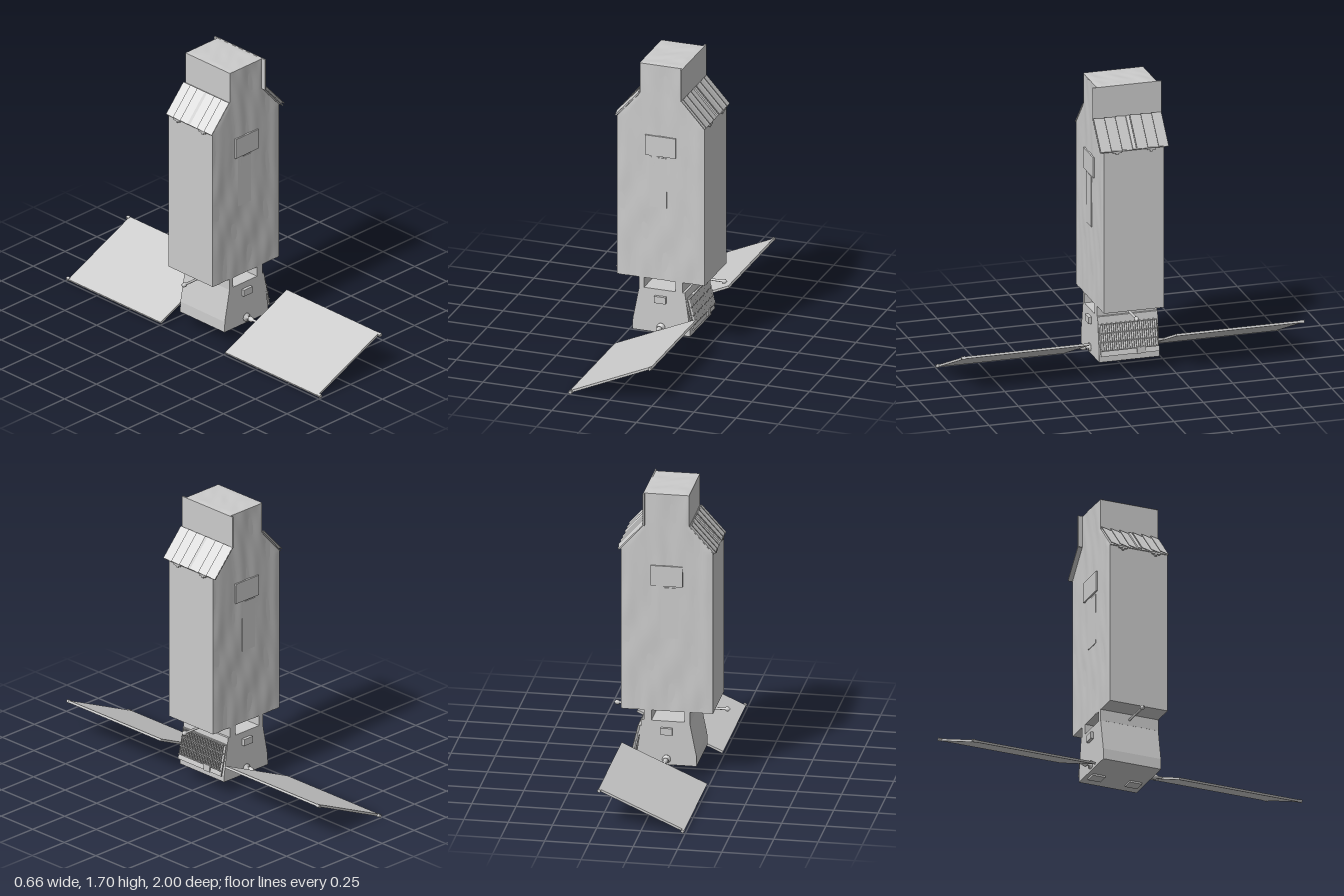
import * as THREE from 'three';

const grey = new THREE.MeshStandardMaterial({ color: 0xcccccc });
const sheet = new THREE.MeshStandardMaterial({ color: 0xcccccc, side: THREE.DoubleSide });

function add(parent, name, geometry, x = 0, y = 0, z = 0, material = grey) {
  const mesh = new THREE.Mesh(geometry, material);
  mesh.name = name;
  mesh.position.set(x, y, z);
  parent.add(mesh);
  return mesh;
}
const box = (parent, name, w, h, d, x, y, z) => add(parent, name, new THREE.BoxGeometry(w, h, d), x, y, z);

function group(parent, name, x = 0, y = 0, z = 0) {
  const g = new THREE.Group();
  g.name = name;
  g.position.set(x, y, z);
  parent.add(g);
  return g;
}

// Prism with an outline in x-y, centred on z = 0
function prism(points, depth) {
  const shape = new THREE.Shape(points.map(([x, y]) => new THREE.Vector2(x, y)));
  return new THREE.ExtrudeGeometry(shape, { depth, bevelEnabled: false }).translate(0, 0, -depth / 2);
}

// Soft slanted creases, about -1 to 1
const crease = (u, v) =>
  0.5 * Math.sin(38 * u - 7 * v + 2.2 * Math.sin(5 * v + 6 * u)) +
  0.3 * Math.sin(71 * u + 9 * v + 1.7 * Math.sin(8 * v)) +
  0.2 * Math.sin(23 * u + 19 * v);

// Half width of the main body at height y
const halfWidth = y => y < 1.36 ? 0.26 : y < 1.51 ? 0.26 - 0.9 * (y - 1.36) : 0.125;

// Creased foil following the body outline
function foilGeometry() {
  const rows = 86, cols = 36;
  const g = new THREE.PlaneGeometry(2, 1, cols, rows);
  const p = g.attributes.position;
  for (let i = 0; i < p.count; i++) {
    const u = p.getX(i);
    const y = 0.405 + (p.getY(i) + 0.5) * 1.29;
    const x = u * halfWidth(y);
    const fade = Math.min(1, (1 - Math.abs(u)) * 8);
    p.setXYZ(i, x, y, 0.174 + fade * 0.003 * (0.6 + crease(x, y)));
  }
  g.computeVertexNormals();
  return g;
}

function buildBody(root) {
  const body = group(root, 'mainBody');
  add(body, 'bodyShell', prism([
    [-0.26, 0.405], [0.26, 0.405], [0.26, 1.36], [0.125, 1.51],
    [0.125, 1.695], [-0.125, 1.695], [-0.125, 1.51], [-0.26, 1.36],
  ], 0.348));

  // Front and back are alike
  for (const turn of [0, Math.PI]) {
    const face = group(body, turn ? 'backFace' : 'frontFace');
    face.rotation.y = turn;
    add(face, 'foil', foilGeometry(), 0, 0, 0, sheet);
    box(face, 'equipmentPanel', 0.18, 0.12, 0.014, 0, 1.21, 0.178);
    box(face, 'lowerPanel', 0.1, 0.3, 0.006, 0.015 * (turn ? 1 : -1), 0.99, 0.1755);
  }

  // Creased roof
  const roof = new THREE.PlaneGeometry(0.25, 0.348, 20, 26).rotateX(-Math.PI / 2);
  const p = roof.attributes.position;
  for (let i = 0; i < p.count; i++) {
    const x = p.getX(i), z = p.getZ(i);
    const edge = Math.min(1, (0.125 - Math.abs(x)) * 40, (0.174 - Math.abs(z)) * 40);
    p.setY(i, 0.002 + edge * 0.002 * (1 + crease(z, x * 3)));
  }
  roof.computeVertexNormals();
  add(body, 'roofFoil', roof, 0, 1.695, 0, sheet);

  // Wide radiator plate on the neck
  box(body, 'neckRadiator', 0.008, 0.19, 0.4, 0.128, 1.603, 0);

  // Sloping louvred shoulders
  for (const s of [1, -1]) {
    const side = group(body, s > 0 ? 'leftShoulder' : 'rightShoulder');
    side.rotation.y = s > 0 ? 0 : Math.PI;
    const depth = s > 0 ? 0.4 : 0.352;
    const slope = group(side, 'louvreFrame', 0.199, 1.434, 0);
    slope.rotation.z = Math.atan2(-0.155, 0.14);
    box(slope, 'basePlate', 0.205, 0.005, depth, 0, 0, 0);
    box(slope, 'middleBar', 0.205, 0.012, 0.02, 0, 0.006, 0);
    const bladeWidth = (depth / 2 - 0.012) / 3;
    for (let i = 0; i < 6; i++) {
      const z = (i < 3 ? -1 : 1) * (0.012 + bladeWidth * (i % 3 + 0.5));
      const blade = box(slope, 'louvreBlade', 0.205, 0.003, bladeWidth, 0, 0.009, z);
      blade.rotation.x = -0.2;
    }
    for (const z of [-0.1, 0.1]) {
      box(side, 'hinge', 0.016, 0.012, 0.05, 0.264, 1.355, z);
      box(side, 'hingePin', 0.012, 0.012, 0.014, 0.264, 1.345, z);
    }
  }
}

function buildServiceModule(root) {
  const module = group(root, 'serviceModule');
  add(module, 'moduleShell', prism([
    [-0.168, 0.086], [0.173, 0.086], [0.173, 0.125], [0.142, 0.345], [-0.128, 0.345], [-0.166, 0.15],
  ], 0.35));

  // Walls joining it to the main body
  box(module, 'rightSupport', 0.03, 0.07, 0.35, -0.115, 0.373, 0);
  box(module, 'leftSupport', 0.043, 0.07, 0.35, 0.108, 0.373, 0);

  // Tilted radiator with upright slats
  const radiator = group(module, 'radiator', 0.17, 0.215, 0);
  radiator.rotation.z = 0.23;
  box(radiator, 'radiatorPlate', 0.008, 0.185, 0.34, 0, 0, 0);
  for (let i = 0; i < 26; i++) {
    const slat = box(radiator, 'radiatorSlat', 0.014, 0.148, 0.003, 0.011, 0.014, -0.1575 + i * 0.0126);
    slat.rotation.y = 0.5;
  }
  for (const y of [-0.061, -0.012, 0.038, 0.088]) box(radiator, 'radiatorRail', 0.012, 0.005, 0.33, 0.009, y, 0);
  box(module, 'sideBox', 0.02, 0.04, 0.045, 0.19, 0.145, -0.0625);

  // Boxes on the front, back and underside
  for (const s of [1, -1]) {
    box(module, s > 0 ? 'frontBox' : 'backBox', 0.066, 0.04, 0.03, 0, 0.287, s * 0.178);
    box(module, 'undersideBox', 0.07, 0.016, 0.075, 0.07, 0.084, s * 0.112);
  }
}

function buildAntennas(root) {
  // Rod with collars and pointed ends, running out both sides
  const profile = [[0, 0], [0.007, 0], [0.007, 0.2], [0.013, 0.202], [0.013, 0.218], [0.005, 0.225], [0, 0.23]]
    .map(([r, y]) => new THREE.Vector2(r, y));
  for (const s of [1, -1]) {
    const rod = add(root, s > 0 ? 'leftAntenna' : 'rightAntenna', new THREE.LatheGeometry(profile, 12), s * 0.1, 0.372, 0);
    rod.rotation.z = -s * Math.PI / 2;
    box(root, 'antennaMount', 0.012, 0.045, 0.045, s * 0.109, 0.372, 0);
  }
}

function buildSolarWings(root) {
  const arm = [[0, 0], [0.024, 0], [0.024, 0.012], [0.008, 0.014], [0.008, 0.03], [0.016, 0.034], [0.014, 0.05],
    [0.007, 0.062], [0.007, 0.09], [0, 0.09]].map(([r, y]) => new THREE.Vector2(r, y));
  for (const s of [1, -1]) {
    const wing = group(root, s > 0 ? 'frontSolarWing' : 'backSolarWing', 0.002, 0.12, 0);
    const drive = add(wing, 'driveArm', new THREE.LatheGeometry(arm, 12), 0, 0, s * 0.17);
    drive.rotation.x = s * Math.PI / 2;
    const panel = group(wing, 'tiltedPanel');
    panel.rotation.z = Math.atan2(0.215, 0.485);
    box(panel, 'solarPanel', 0.53, 0.013, 0.728, 0, 0, s * 0.618);
    // Corner fittings at the outer edge
    for (const e of [1, -1]) {
      box(panel, 'cornerFitting', 0.014, 0.017, 0.022, e * 0.258, 0, s * 0.989);
      const knob = add(panel, 'cornerKnob', new THREE.CylinderGeometry(0.009, 0.009, 0.018, 10), e * 0.258, 0, s * 0.991);
      knob.rotation.z = Math.PI / 2;
    }
  }
}

export function createModel() {
  const root = new THREE.Group();
  root.name = 'satellite';
  buildBody(root);
  buildServiceModule(root);
  buildAntennas(root);
  buildSolarWings(root);
  return root;
}
